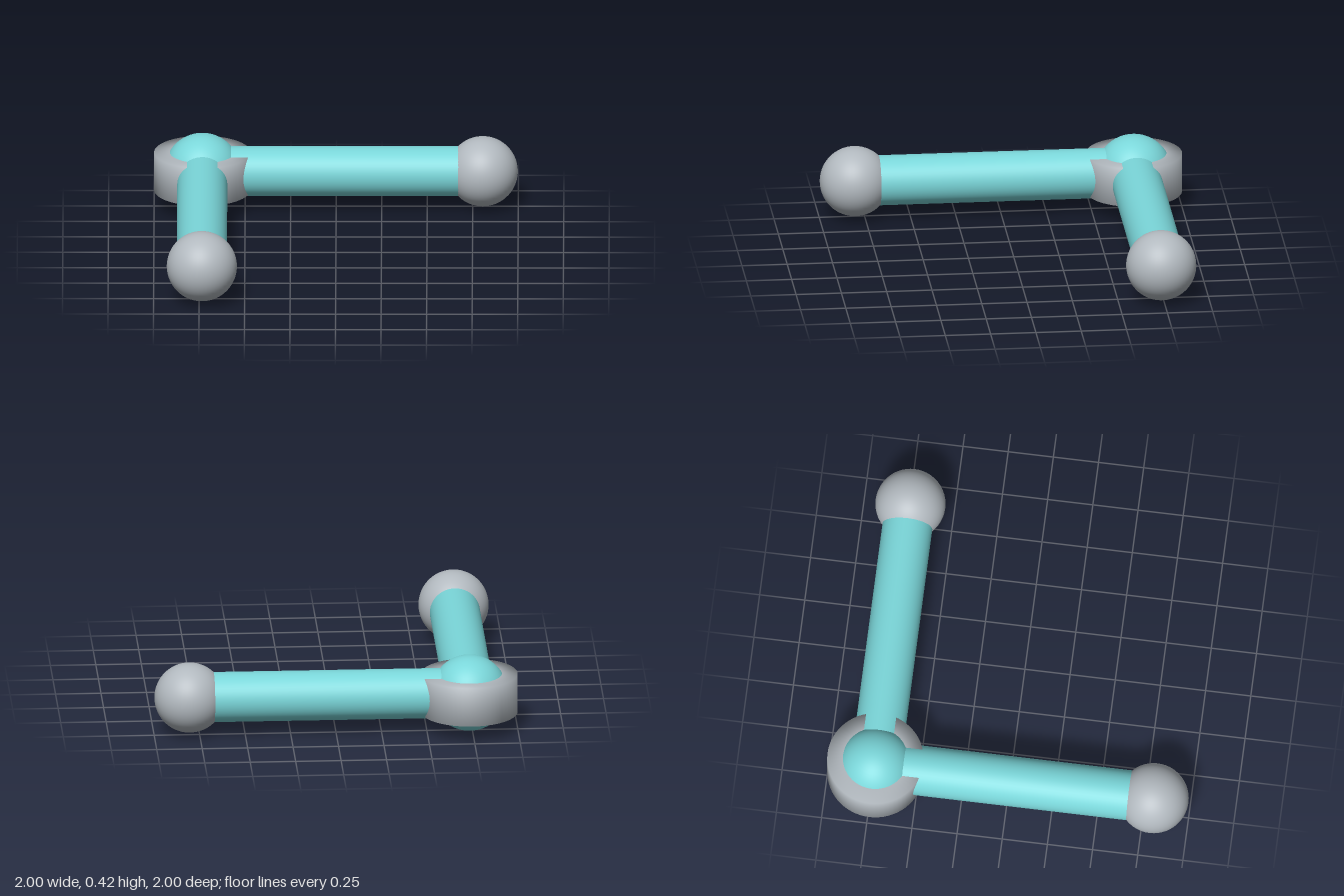
import * as THREE from 'three';

export function createModel() {
  const group = new THREE.Group();
  const teal = new THREE.MeshStandardMaterial({ color: 0x7ad6d9 });
  teal.name = 'teal';
  const grey = new THREE.MeshStandardMaterial({ color: 0xb2b9bf });
  grey.name = 'grey';

  const corner = new THREE.Vector3(-0.735, 0.21, -0.735);
  const reach = 1.54; // corner to the centre of each end ball

  function add(name, geometry, material, position) {
    const mesh = new THREE.Mesh(geometry, material);
    mesh.name = name;
    mesh.position.copy(position);
    group.add(mesh);
    return mesh;
  }

  // Central ball, standing on the ground
  add('cornerBall', new THREE.SphereGeometry(0.21, 48, 32), teal, corner);

  // Collar around the ball, with softly shaded edges
  const profile = [[0.165, -0.11], [0.265, -0.11], [0.265, 0.11], [0.165, 0.11]]
    .map(([r, y]) => new THREE.Vector2(r, y));
  add('collar', new THREE.LatheGeometry(profile, 64), grey, corner);

  // Two arms at a right angle, each ending in a ball
  const arms = [
    ['left', new THREE.Vector3(1, 0, 0)],
    ['front', new THREE.Vector3(0, 0, 1)],
  ];
  for (const [side, direction] of arms) {
    const end = corner.clone().addScaledVector(direction, reach);
    const middle = corner.clone().lerp(end, 0.5);
    const arm = add(side + 'Arm', new THREE.CylinderGeometry(0.138, 0.138, reach, 48), teal, middle);
    arm.quaternion.setFromUnitVectors(new THREE.Vector3(0, 1, 0), direction);
    add(side + 'EndBall', new THREE.SphereGeometry(0.193, 48, 32), grey, end);
  }

  return group;
}
